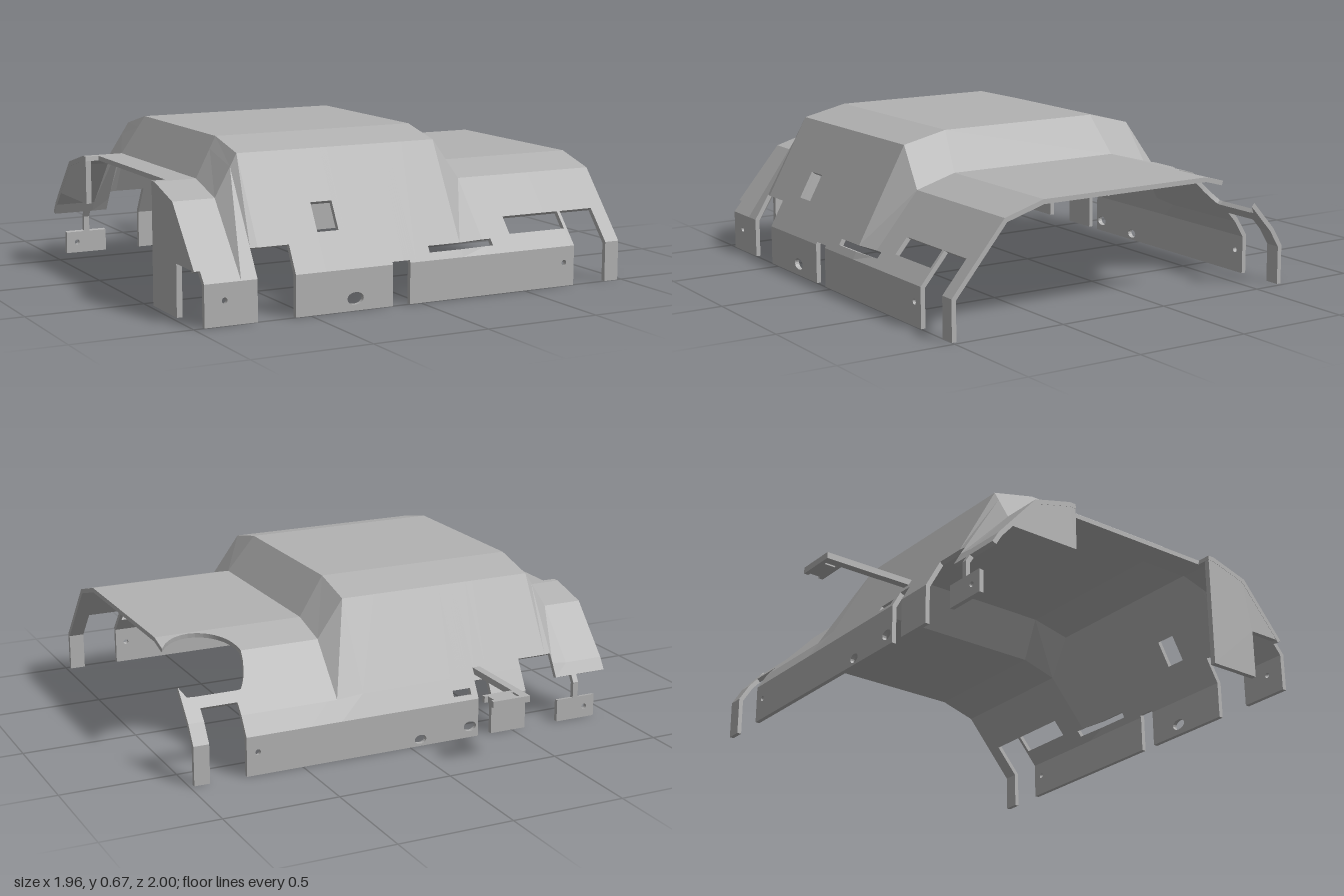
import * as THREE from 'three';

const WALL = 0.02;

// Cover cross-sections as [z, y], running from the front skirt over the roof to the back skirt
const LOW = [[1, 0], [1, 0.17], [0.76, 0.455], [0.58, 0.508], [-0.23, 0.508], [-0.41, 0.46], [-0.6, 0.25], [-0.65, 0.17], [-0.65, 0]];
const HIGH = [[1, 0], [1, 0.17], [0.75, 0.625], [0.55, 0.67], [-0.2, 0.67], [-0.4, 0.62], [-0.6, 0.26], [-0.65, 0.17], [-0.65, 0]];
const LAST = LOW.length - 1;

// Raised roof between two sloping shoulders
function section(x) {
  const h = THREE.MathUtils.clamp(Math.min((x + 0.8) / 0.1, (0.32 - x) / 0.12), 0, 1);
  return LOW.map((p, i) => [p[0] + (HIGH[i][0] - p[0]) * h, p[1] + (HIGH[i][1] - p[1]) * h]);
}

// Same section moved inwards by the wall thickness
function innerSection(pts) {
  const edge = i => {
    const a = pts[i], b = pts[i + 1], l = Math.hypot(b[0] - a[0], b[1] - a[1]);
    return [(b[1] - a[1]) / l, -(b[0] - a[0]) / l];
  };
  return pts.map((p, i) => {
    const a = edge(Math.max(i - 1, 0)), b = edge(Math.min(i, LAST - 1));
    const k = WALL / (1 + a[0] * b[0] + a[1] * b[1]);
    return [p[0] - (a[0] + b[0]) * k, p[1] - (a[1] + b[1]) * k];
  });
}

function pointAt(x, t, inner) {
  const s = section(x), pts = inner ? innerSection(s) : s;
  const i = Math.min(Math.floor(t), LAST - 1), f = t - i;
  return [x, pts[i][1] + (pts[i + 1][1] - pts[i][1]) * f, pts[i][0] + (pts[i + 1][0] - pts[i][0]) * f];
}

// Position along the section of a given z (axis 0) or y (axis 1)
function find(x, value, axis, from, to) {
  const s = section(x);
  for (let i = from; i < to; i++) {
    const a = s[i][axis], b = s[i + 1][axis];
    if (a !== b && (value - a) * (value - b) <= 0) return i + (value - a) / (b - a);
  }
  return Math.abs(value - s[from][axis]) < Math.abs(value - s[to][axis]) ? from : to;
}
const frontY = (x, y) => find(x, y, 1, 0, 3);
const backY = (x, y) => find(x, y, 1, 4, LAST);
const atZ = (x, z) => find(x, z, 0, 1, 7);

// Openings: x range plus a function giving the removed range along the section
const front = (x0, x1, y0, y1) => ({ xs: [x0, x1], range: x => [frontY(x, y0), frontY(x, y1)] });
const back = (x0, x1, y0, y1) => ({ xs: [x0, x1], range: x => [backY(x, y1), backY(x, y0)] });
function oval(cx, cy, rx, ry, isBack) {
  const xs = Array.from({ length: 9 }, (_, i) => cx - rx * Math.cos(i * Math.PI / 8));
  const half = x => ry * Math.sqrt(Math.max(0, 1 - ((x - cx) / rx) ** 2));
  return {
    xs,
    range: x => isBack ? [backY(x, cy + half(x)), backY(x, cy - half(x))] : [frontY(x, cy - half(x)), frontY(x, cy + half(x))],
  };
}

const fillerX = 0.837, fillerZ = -0.405, fillerR = 0.167;
const filler = {
  xs: [...Array.from({ length: 13 }, (_, i) => fillerX - fillerR * Math.cos(i * Math.PI / 16)), 0.98],
  range: x => {
    const h = Math.sqrt(Math.max(0, fillerR ** 2 - (x - fillerX) ** 2));
    return [atZ(x, fillerZ + h), atZ(x, Math.max(fillerZ - h, -0.525))];
  },
};
filler.xs = filler.xs.filter(x => x <= 0.98);

const CUTS = [
  // front skirt notches, slots and holes
  front(-0.98, -0.955, 0, 0.215), front(-0.73, -0.565, 0, 0.28), front(-0.13, -0.05, 0, 0.18),
  front(0.75, 0.912, 0, 0.3), front(-0.43, -0.335, 0.315, 0.425), front(0.05, 0.36, 0.2, 0.225),
  front(0.46, 0.735, 0.235, 0.3), oval(-0.87, 0.1, 0.012, 0.012), oval(0.7, 0.1, 0.012, 0.012),
  oval(-0.3, 0.05, 0.037, 0.025),
  // open left end and round opening at the back corner
  { xs: [-0.98, -0.92], range: x => [atZ(x, 0.55), atZ(x, -0.2)] },
  filler,
  // back skirt
  back(-0.98, -0.92, 0, 0.2), back(-0.92, -0.835, 0.1, 0.2), back(-0.81, -0.73, 0.1, 0.2),
  back(-0.73, -0.565, 0, 0.295), back(-0.395, -0.33, 0, 0.24), back(-0.3, -0.215, 0.19, 0.215),
  back(0.75, 0.912, 0, 0.294), oval(-0.87, 0.05, 0.012, 0.012, true), oval(0.7, 0.1, 0.012, 0.012, true),
  oval(-0.29, 0.05, 0.03, 0.022, true), oval(-0.05, 0.03, 0.028, 0.02, true),
];

function coverGeometry() {
  const pos = [];
  const quad = (a, b, c, d) => pos.push(...a, ...b, ...c, ...a, ...c, ...d);
  const all = [-0.98, -0.8, -0.7, 0.2, 0.32, 0.98, ...CUTS.flatMap(c => c.xs)];
  const xs = [...new Set(all.map(x => Math.round(x * 1e4) / 1e4))].sort((a, b) => a - b);

  for (let i = 0; i < xs.length - 1; i++) {
    const xa = xs[i], xb = xs[i + 1], mid = (xa + xb) / 2;
    const active = CUTS.filter(c => c.xs[0] < mid && c.xs[c.xs.length - 1] > mid)
      .sort((p, q) => p.range(mid)[0] - q.range(mid)[0]);
    // solid stretches between the openings of this column
    let startA = 0, startB = 0;
    const solid = [];
    for (const c of active) {
      const a = c.range(xa), b = c.range(xb);
      solid.push([startA, a[0], startB, b[0]]);
      startA = a[1];
      startB = b[1];
    }
    solid.push([startA, LAST, startB, LAST]);

    for (const [a0, a1, b0, b1] of solid) {
      if (a1 - a0 < 1e-4 && b1 - b0 < 1e-4) continue;
      const clamp = THREE.MathUtils.clamp;
      for (let k = 0; k < LAST; k++) {
        const ta = clamp(k, a0, a1), tA = clamp(k + 1, a0, a1);
        const tb = clamp(k, b0, b1), tB = clamp(k + 1, b0, b1);
        if (tA - ta < 1e-6 && tB - tb < 1e-6) continue;
        const o = [pointAt(xa, ta), pointAt(xb, tb), pointAt(xb, tB), pointAt(xa, tA)];
        const n = [pointAt(xa, ta, true), pointAt(xb, tb, true), pointAt(xb, tB, true), pointAt(xa, tA, true)];
        quad(...o);
        quad(n[3], n[2], n[1], n[0]);
        quad(o[3], n[3], n[0], o[0]);
        quad(o[1], n[1], n[2], o[2]);
      }
      // rims at both ends of the stretch
      quad(pointAt(xa, a0), pointAt(xa, a0, true), pointAt(xb, b0, true), pointAt(xb, b0));
      quad(pointAt(xb, b1), pointAt(xb, b1, true), pointAt(xa, a1, true), pointAt(xa, a1));
    }
  }
  const g = new THREE.BufferGeometry();
  g.setAttribute('position', new THREE.Float32BufferAttribute(pos, 3));
  g.computeVertexNormals();
  return g;
}

const shape = pts => new THREE.Shape(pts.map(p => new THREE.Vector2(...p)));
const slab = (s, depth) => new THREE.ExtrudeGeometry(s, { depth, bevelEnabled: false });

export function createModel() {
  const group = new THREE.Group();
  const grey = new THREE.MeshStandardMaterial({ color: 0xb2b2b2 });
  grey.name = 'plain grey';
  const add = (name, geometry) => {
    const mesh = new THREE.Mesh(geometry, grey);
    mesh.name = name;
    group.add(mesh);
    return mesh;
  };

  add('coverShell', coverGeometry());

  // Upright end walls, drawn in z and y
  const wall = (name, pts) => {
    add(name, slab(shape(pts), 0.024).rotateY(-Math.PI / 2)).position.x = -0.955;
  };
  wall('frontEndWall', [[0.55, 0], [0.79, 0], [0.79, 0.215], [0.945, 0.215], [0.75, 0.45], [0.58, 0.5], [0.55, 0.5]]);
  wall('backEndWall', [[-0.2, 0.3], [-0.2, 0.5], [-0.23, 0.5], [-0.41, 0.45], [-0.545, 0.3]]);

  // Latch arm reaching out behind, drawn in x and -z
  const arm = shape([[-0.37, 0.58], [-0.335, 0.58], [-0.335, 0.91], [-0.195, 0.91], [-0.195, 0.93],
    [-0.21, 0.93], [-0.21, 0.98], [-0.195, 0.98], [-0.195, 1], [-0.37, 1]]);
  arm.holes.push(shape([[-0.33, 0.93], [-0.33, 0.98], [-0.318, 0.98], [-0.318, 0.93]]));
  add('latchArm', slab(arm, 0.027).rotateX(-Math.PI / 2)).position.y = 0.263;

  return group;
}
